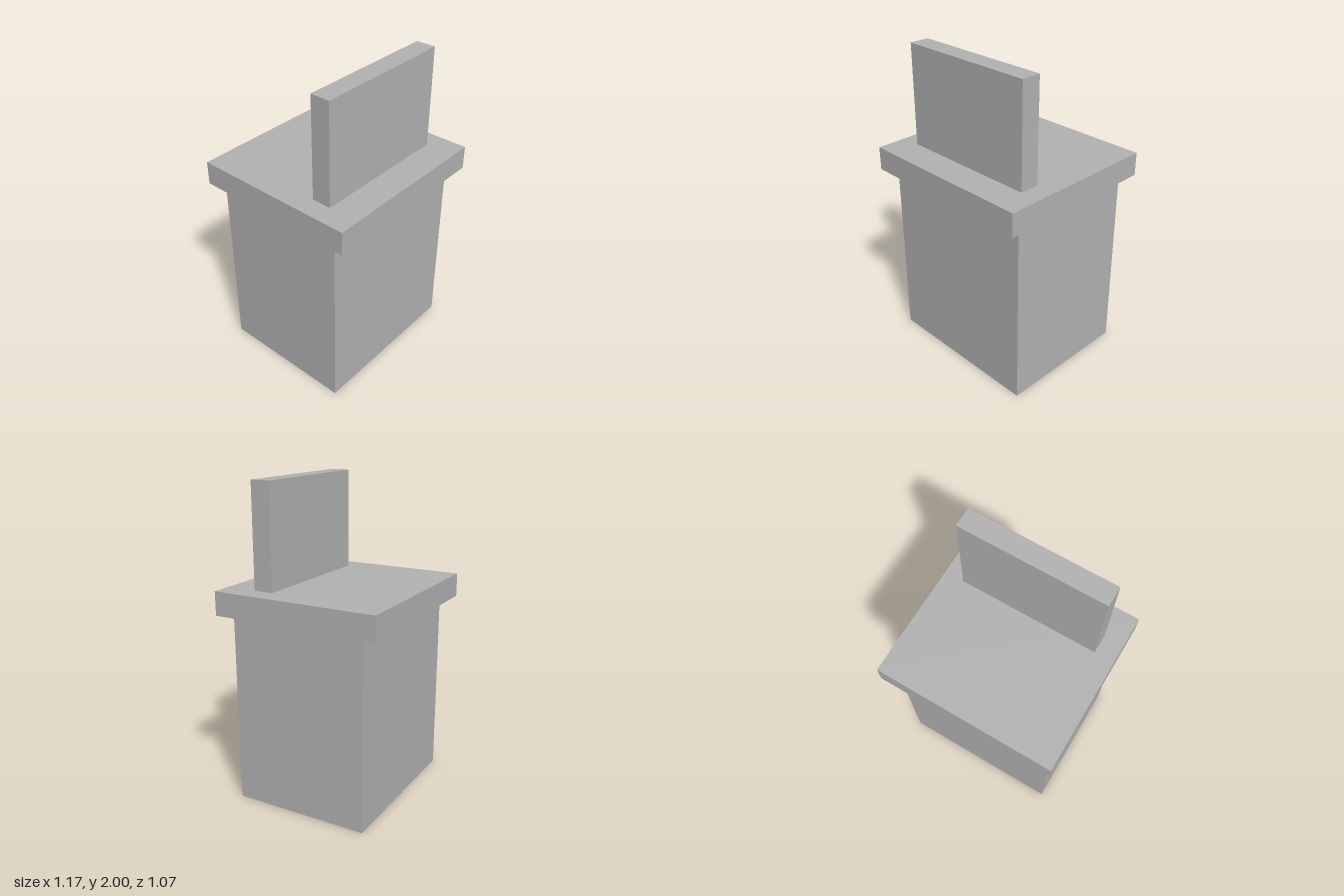
import * as THREE from 'three';

export function createModel() {
  const model = new THREE.Group();
  model.name = 'blockSeat';

  const grey = new THREE.MeshStandardMaterial({ color: 0xb2b2b2 });
  grey.name = 'plain grey';

  // Adds a box resting on height y, centred on x = 0
  function addBlock(name, width, height, depth, y, z = 0) {
    const mesh = new THREE.Mesh(new THREE.BoxGeometry(width, height, depth), grey);
    mesh.name = name;
    mesh.position.set(0, y + height / 2, z);
    model.add(mesh);
  }

  // Solid pedestal, overhanging seat slab and upright back panel
  addBlock('pedestal', 1.066, 1.205, 0.876, 0);
  addBlock('seat', 1.166, 0.15, 1.066, 1.205);
  addBlock('backrest', 0.91, 0.645, 0.125, 1.355, 0.274);

  return model;
}
